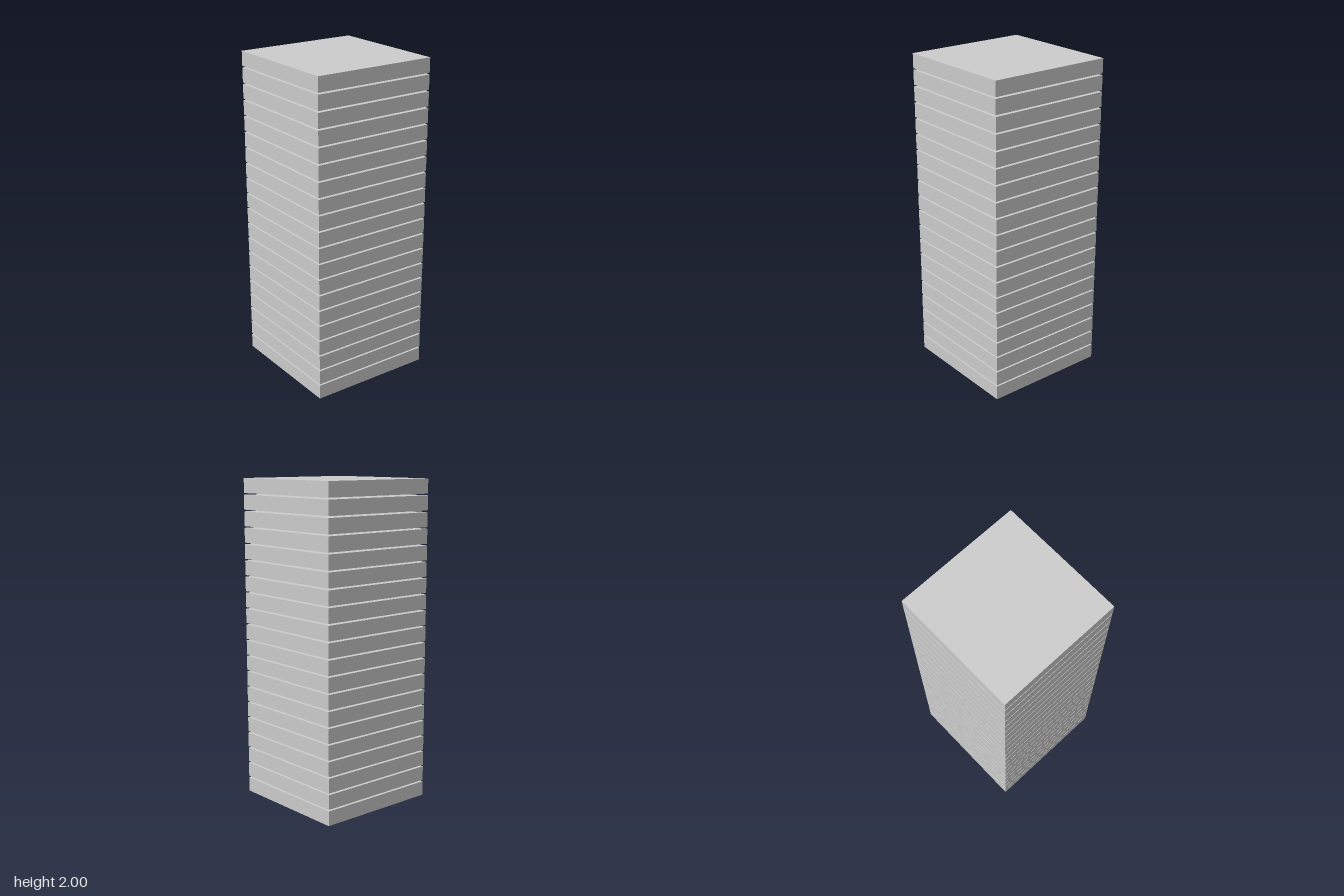
import * as THREE from 'three';

export function createModel() {
  const model = new THREE.Group();
  model.name = 'slabTower';
  const material = new THREE.MeshStandardMaterial({ color: 0xcccccc });

  // Twenty equal square slabs with a thin open gap between them
  const count = 20, width = 0.79, thickness = 0.0905;
  const pitch = (2 - thickness) / (count - 1);
  const slabGeometry = new THREE.BoxGeometry(width, thickness, width);

  for (let i = 0; i < count; i++) {
    const slab = new THREE.Mesh(slabGeometry, material);
    slab.name = `floorSlab${i + 1}`;
    slab.position.y = thickness / 2 + i * pitch;
    model.add(slab);
  }
  return model;
}
